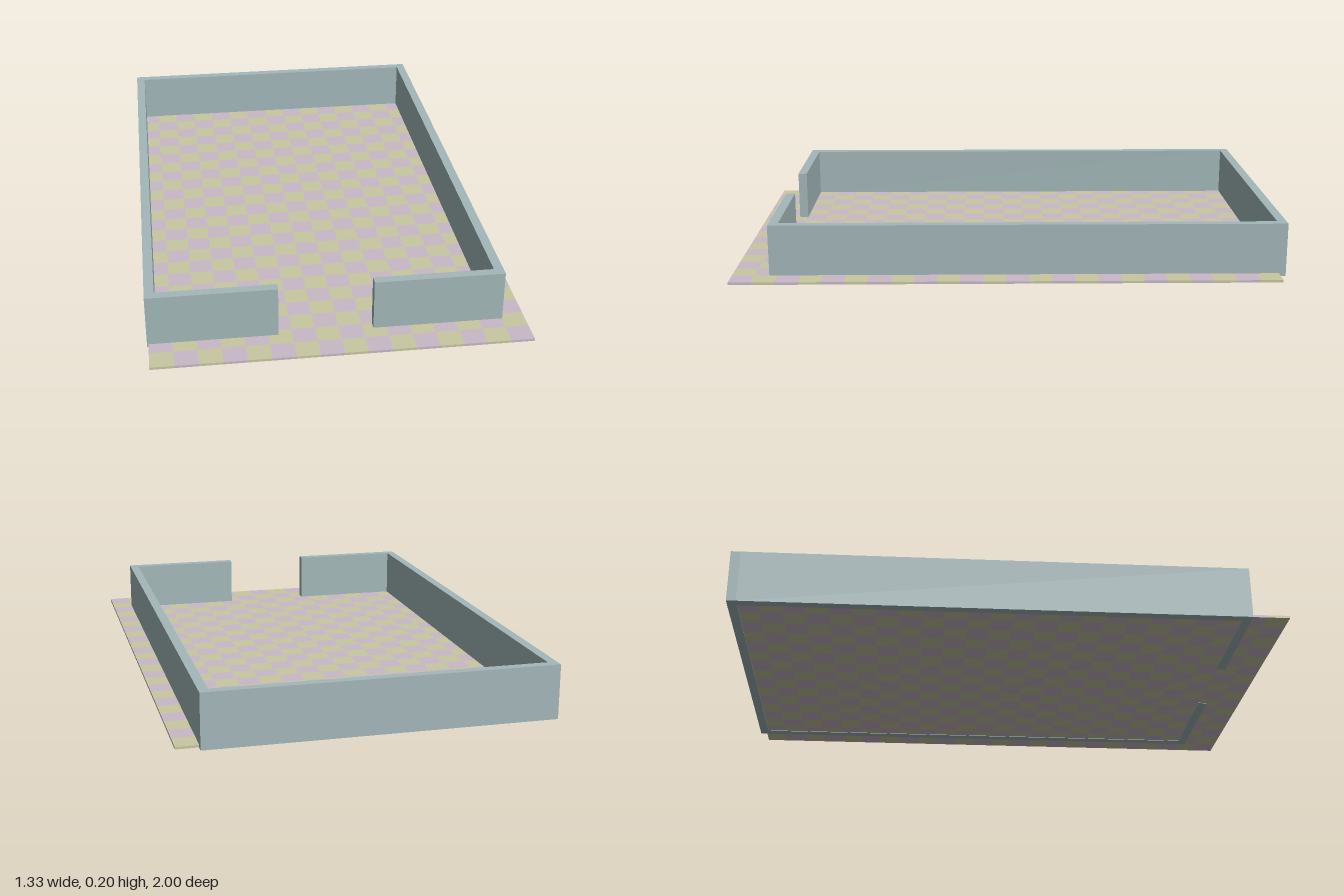
import * as THREE from 'three';
import { mergeGeometries } from 'three/addons/utils/BufferGeometryUtils.js';

const wallMat = new THREE.MeshStandardMaterial({ color: 0xa4b8ba });
const tileMats = [0xc9c8a2, 0xc9b9c8].map((color) => new THREE.MeshStandardMaterial({ color }));

// Box from its minimum and maximum corners
function boxBetween(x0, x1, y0, y1, z0, z1) {
  return new THREE.BoxGeometry(x1 - x0, y1 - y0, z1 - z0)
    .translate((x0 + x1) / 2, (y0 + y1) / 2, (z0 + z1) / 2);
}

export function createModel() {
  const model = new THREE.Group();
  model.name = 'walledCourt';
  const add = (name, geometry, material, parent = model) => {
    const mesh = new THREE.Mesh(geometry, material);
    mesh.name = name;
    parent.add(mesh);
  };

  // Checkered floor: 16 x 24 thin tiles in two colours
  const floor = new THREE.Group();
  floor.name = 'floor';
  model.add(floor);
  const cols = 16, rows = 24, x0 = -0.66, z0 = -0.975;
  const w = 1.32 / cols, d = 1.975 / rows;
  const tiles = [[], []];
  for (let i = 0; i < cols; i++) {
    for (let j = 0; j < rows; j++) {
      const x = x0 + i * w, z = z0 + j * d;
      tiles[(i + rows - 1 - j) % 2].push(boxBetween(x, x + w, 0.002, 0.011, z, z + d));
    }
  }
  add('yellowTiles', mergeGeometries(tiles[0]), tileMats[0], floor);
  add('mauveTiles', mergeGeometries(tiles[1]), tileMats[1], floor);

  // Walls, with an entrance gap in the front
  const left = 0.58, right = -0.665, front = 0.865, back = -1, t = 0.034, h = 0.197;
  const walls = [
    ['backWall', right, left, back, back + t],
    ['rightWall', right, right + t, back + t, front],
    ['leftWall', left - t, left, back + t, front],
    ['frontWallRight', right + t, -0.212, front - t, front],
    ['frontWallLeft', 0.12, left - t, front - t, front],
  ];
  for (const [name, xa, xb, za, zb] of walls) add(name, boxBetween(xa, xb, 0, h, za, zb), wallMat);

  return model;
}
